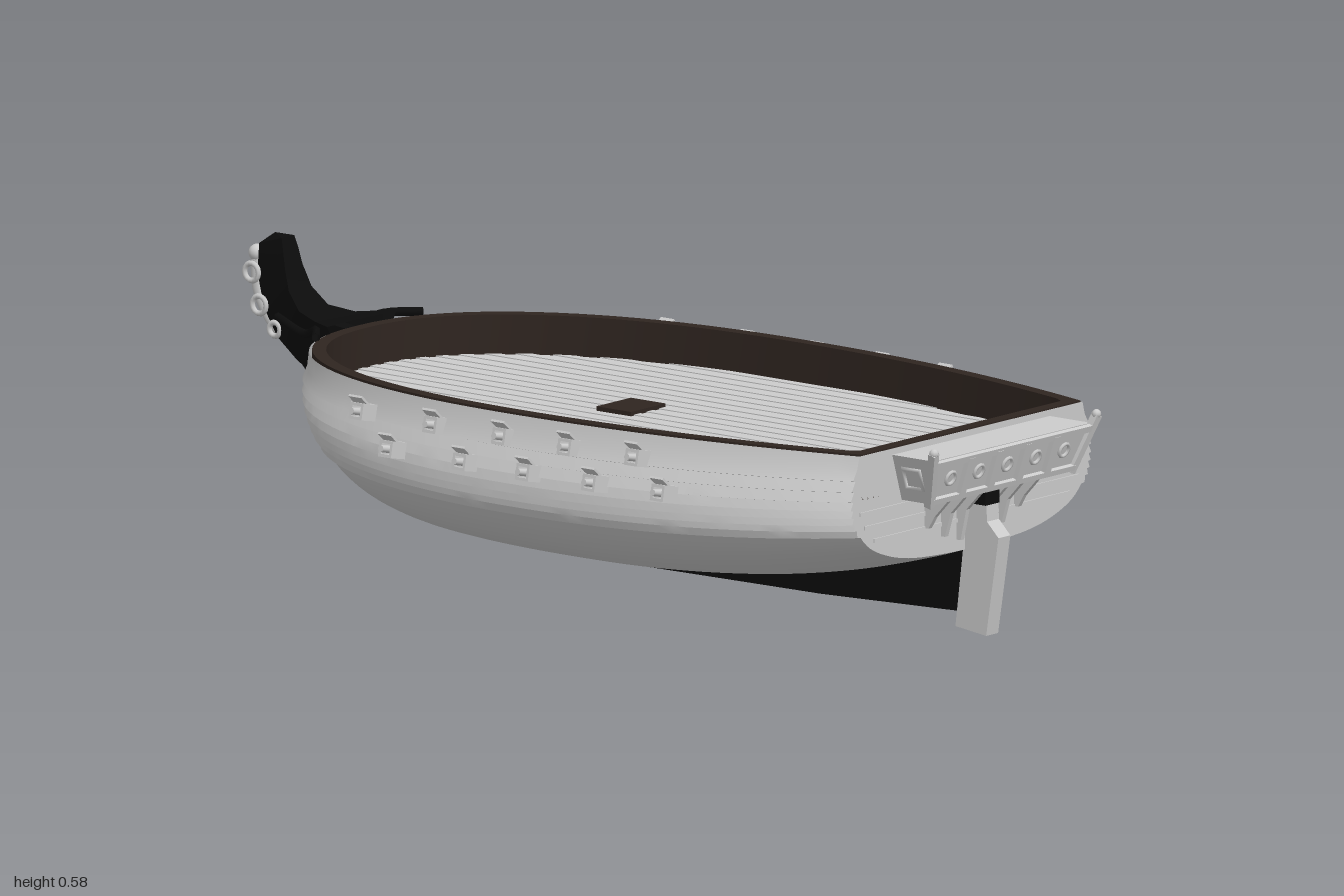
import * as THREE from 'three';
import { toCreasedNormals } from 'three/addons/utils/BufferGeometryUtils.js';

const mat = (color) => new THREE.MeshStandardMaterial({ color, side: THREE.DoubleSide });
const grey = mat(0xcccccc), black = mat(0x0c0c0c), brown = mat(0x2f2520);
const V = (x, y, z) => new THREE.Vector3(x, y, z);

function add(parent, name, geometry, material, x = 0, y = 0, z = 0) {
  const mesh = new THREE.Mesh(geometry, material);
  mesh.name = name;
  mesh.position.set(x, y, z);
  parent.add(mesh);
  return mesh;
}
const box = (w, h, d) => new THREE.BoxGeometry(w, h, d);

// Surface through rows of points
function skin(rows, crease = 0.5) {
  const pos = [], index = [], n = rows[0].length;
  rows.forEach((row) => row.forEach((p) => pos.push(p.x, p.y, p.z)));
  for (let i = 0; i < rows.length - 1; i++) {
    for (let j = 0; j < n - 1; j++) {
      const a = i * n + j, b = a + n;
      index.push(a, a + 1, b, b, a + 1, b + 1);
    }
  }
  const g = new THREE.BufferGeometry();
  g.setAttribute('position', new THREE.Float32BufferAttribute(pos, 3));
  g.setIndex(index);
  return toCreasedNormals(g, crease);
}

// Flat outline in x and y, given a thickness in z
function slab(points, depth) {
  const shape = new THREE.Shape(points.map(([x, y]) => new THREE.Vector2(x, y)));
  return new THREE.ExtrudeGeometry(shape, { depth, bevelEnabled: false }).translate(0, 0, -depth / 2);
}

// Waterlines from keel to rail: mid height, mid half-width, bow x | bow height, stern height, stern half-width
const STERN = 0.875;
const LINES = [
  [0.045, 0, -0.25, 0.048, 0.17, 0], [0.055, 0.1, -0.4, 0.065, 0.173, 0.1],
  [0.085, 0.25, -0.52, 0.09, 0.18, 0.19], [0.12, 0.345, -0.6, 0.13, 0.195, 0.26],
  [0.165, 0.41, -0.66, 0.18, 0.22, 0.32], [0.215, 0.455, -0.7, 0.24, 0.255, 0.357],
  [0.25, 0.478, -0.715, 0.28, 0.285, 0.37], [0.295, 0.49, -0.725, 0.32, 0.32, 0.373],
  [0.35, 0.483, -0.73, 0.36, 0.365, 0.366], [0.415, 0.47, -0.73, 0.415, 0.415, 0.354],
];
const midCurve = new THREE.CatmullRomCurve3(LINES.map((l) => V(l[0], l[1], l[2])), false, 'catmullrom');
const endCurve = new THREE.CatmullRomCurve3(LINES.map((l) => V(l[3], l[4], l[5])), false, 'catmullrom');

// Hull point: level t (keel 0, rail 1), s from bow 0 to stern 1, pushed outwards by out
function hullPoint(t, s, out = 0) {
  const m = midCurve.getPoint(t), e = endCurve.getPoint(t);
  if (s < 0.6) {
    const a = 1 - Math.cos((s / 0.6) * Math.PI / 2);
    const f = Math.pow(1 - Math.pow(1 - a, 2.3), 1 / 2.3);
    return V(THREE.MathUtils.lerp(m.z - out, 0.07, a), m.x + (e.x - m.x) * (1 - a) ** 2, (m.y + out) * f);
  }
  const q = (s - 0.6) / 0.4;
  return V(0.07 + (STERN - 0.07) * q, m.x + (e.y - m.x) * q ** 2.2, m.y + (e.z - m.y) * q * q + out);
}

// Smooth bottom levels, then overlapping strakes
const levels = [];
for (let i = 0; i <= 18; i++) levels.push([(i / 18) * 0.53, 0]);
const STRAKES = 8;
for (let i = 0; i < STRAKES; i++) {
  const t = 0.53 + (i / STRAKES) * 0.41, next = 0.53 + ((i + 1) / STRAKES) * 0.41;
  levels.push([t + 0.004, 0.009], [next, 0.001]);
}
levels.push([1, 0]);

function buildHull(g) {
  const N = 48, flip = (p) => V(p.x, p.y, -p.z);
  const rows = levels.map(([t, out]) => Array.from({ length: N + 1 }, (_, j) => hullPoint(t, j / N, out)));
  add(g, 'hullLeft', skin(rows, 0.4), grey);
  add(g, 'hullRight', skin(rows.map((r) => r.map(flip).reverse()), 0.4), grey);

  // Transom closing the stern
  const edge = rows.map((r) => r[N]);
  const outline = [...edge, ...edge.slice(1).reverse().map(flip)];
  const shape = new THREE.Shape(outline.map((p) => new THREE.Vector2(p.z, p.y)));
  add(g, 'transom', new THREE.ShapeGeometry(shape).rotateY(Math.PI / 2), grey, STERN);
  [[0.235, 0.62], [0.265, 0.68], [0.295, 0.71]].forEach(([y, w]) =>
    add(g, 'transomPlank', box(0.006, 0.008, w), grey, STERN, y, 0));

  // Bulwark ring
  const ring = (inset) => {
    const side = Array.from({ length: 41 }, (_, j) => hullPoint(1, j / 40, -inset));
    return [...side, ...side.slice(1).reverse().map(flip)]
      .map((p) => new THREE.Vector2(Math.min(p.x, 0.881 - inset), p.z));
  };
  const wall = new THREE.Shape(ring(0.006));
  wall.holes.push(new THREE.Path(ring(0.034)));
  const wallGeo = new THREE.ExtrudeGeometry(wall, { depth: 0.095, bevelEnabled: false }).rotateX(Math.PI / 2);
  add(g, 'bulwark', toCreasedNormals(wallGeo, 0.5), brown, 0, 0.418, 0);
}

// Deck planks cut to the hull outline
function buildDeck(g) {
  const count = 45, w = 0.9 / count;
  for (let i = 0; i < count; i++) {
    const z = -0.45 + w * (i + 0.5), k = Math.min(Math.abs(z) / 0.458, 0.999);
    const a = 1 - Math.pow(1 - Math.pow(k, 2.3), 1 / 2.3);
    const x0 = -0.715 + 0.785 * a;
    const x1 = Math.abs(z) < 0.34 ? 0.86 : 0.07 + 0.8 * Math.sqrt(Math.max(0, 0.462 - Math.abs(z)) / 0.122);
    add(g, 'deckPlank', box(x1 - x0, 0.012, w), grey, (x0 + x1) / 2, 0.33 + (i % 2) * 0.002, z);
  }
  add(g, 'hatch', box(0.09, 0.02, 0.11), brown, -0.022, 0.335, -0.015);
}

// Keel, stem, stern post and rudder
function buildKeel(g) {
  add(g, 'keelAndStem', slab([
    [-0.86, 0.335], [-0.82, 0.29], [-0.795, 0.245], [-0.74, 0.175], [-0.66, 0.11], [-0.53, 0.06],
    [-0.37, 0.036], [0, 0.026], [0.5, 0.03], [0.865, 0.042], [0.875, 0.2], [0.5, 0.11], [0.1, 0.065],
    [-0.3, 0.075], [-0.48, 0.11], [-0.62, 0.19], [-0.69, 0.27], [-0.715, 0.41], [-0.8, 0.42],
  ], 0.034), black);
  add(g, 'sternPost', box(0.03, 0.13, 0.034), black, 0.88, 0.24, 0);
  add(g, 'rudder', slab([[0.85, 0.01], [0.93, 0], [0.962, 0.205], [0.932, 0.235], [0.93, 0.295], [0.885, 0.295]], 0.038), grey);
  add(g, 'rudderHead', box(0.046, 0.04, 0.044), black, 0.908, 0.288, 0);
}

// Beakhead sweeping up from the bow, with carved scrolls
function buildBeakhead(g) {
  const stations = [
    [-0.71, 0.28, -0.71, 0.435, 0.03, 0.11], [-0.79, 0.295, -0.78, 0.43, 0.025, 0.065],
    [-0.86, 0.335, -0.835, 0.44, 0.024, 0.046], [-0.91, 0.375, -0.87, 0.475, 0.024, 0.036],
    [-0.945, 0.43, -0.887, 0.52, 0.023, 0.028], [-0.963, 0.5, -0.895, 0.555, 0.022, 0.024],
    [-0.962, 0.56, -0.902, 0.578, 0.018, 0.02],
  ];
  const rings = stations.map(([x0, y0, x1, y1, a, b]) =>
    [V(x0, y0, a), V(x1, y1, b), V(x1, y1, -b), V(x0, y0, -a), V(x0, y0, a)]);
  const tip = V(-0.935, 0.583, 0);
  rings.push(Array(5).fill(tip));
  add(g, 'beakhead', skin(rings), black);

  const front = new THREE.CatmullRomCurve3([V(-0.885, 0.36, 0), V(-0.94, 0.4, 0), V(-0.975, 0.46, 0), V(-0.982, 0.53, 0)]);
  add(g, 'figurehead', new THREE.TubeGeometry(front, 16, 0.014, 8), grey);
  add(g, 'figureheadTop', new THREE.SphereGeometry(0.018, 12, 8), grey, -0.982, 0.535, 0);
  for (const side of [-1, 1]) {
    const rail = new THREE.CatmullRomCurve3([V(-0.69, 0.425, 0.17 * side), V(-0.74, 0.425, 0.11 * side),
      V(-0.81, 0.4, 0.06 * side), V(-0.9, 0.42, 0.036 * side)]);
    add(g, 'headRail', new THREE.TubeGeometry(rail, 16, 0.009, 6), black);
    [[-0.975, 0.5, 0.018], [-0.955, 0.435, 0.018], [-0.915, 0.39, 0.014]].forEach(([x, y, r]) =>
      add(g, 'scroll', new THREE.TorusGeometry(r, 0.006, 6, 14), grey, x, y, 0.026 * side));
  }
}

// Stern gallery with pilasters, rosettes, corner posts and brackets
function buildGallery(g) {
  const level = (y, x, z) => [V(0.87, y, z), V(x, y, z), V(x, y, -z), V(0.87, y, -z), V(0.87, y, z)];
  const bottom = level(0.305, 0.95, 0.22), top = level(0.402, 0.982, 0.25);
  const cap = (y) => Array(5).fill(V(0.91, y, 0));
  add(g, 'gallery', skin([cap(0.305), bottom, top, cap(0.402)], 0.2), grey);

  const back = new THREE.Group();
  back.name = 'galleryBack';
  back.position.set(0.967, 0.354, 0);
  back.rotation.z = -0.32;
  g.add(back);
  add(back, 'upperMoulding', box(0.014, 0.014, 0.5), grey, 0.002, 0.042, 0);
  add(back, 'lowerMoulding', box(0.014, 0.012, 0.45), grey, 0.002, -0.043, 0);
  for (const z of [-0.135, -0.045, 0.045, 0.135]) add(back, 'pilaster', box(0.016, 0.085, 0.018), grey, 0.002, 0, z);
  for (const z of [-0.18, -0.09, 0, 0.09, 0.18]) {
    add(back, 'rosette', new THREE.TorusGeometry(0.014, 0.004, 6, 12).rotateY(Math.PI / 2), grey, 0.002, 0.002, z);
  }
  for (const side of [-1, 1]) {
    const post = add(g, 'cornerPost', box(0.016, 0.13, 0.016), grey, 0.97, 0.36, 0.241 * side);
    post.rotation.set(0.3 * side, 0, -0.32);
    add(g, 'finial', new THREE.SphereGeometry(0.01, 8, 6), grey, 0.99, 0.42, 0.258 * side);
    const frame = add(g, 'sideWindow', new THREE.TorusGeometry(0.03, 0.006, 4, 4).rotateZ(Math.PI / 4), grey, 0.918, 0.355, 0.236 * side);
    frame.rotation.x = 0.3 * side;
    [[0.04, 0.195], [0.09, 0.21], [0.142, 0.235]].forEach(([z, y]) =>
      add(g, 'bracket', slab([[0.87, y], [0.885, y], [0.9, 0.26], [0.945, 0.308], [0.87, 0.308]], 0.011), grey, 0, 0, z * side));
  }
}

// Gun port: open frame, barrel and raised lid, facing +z
function gunPort() {
  const port = new THREE.Group();
  port.name = 'gunPort';
  for (const s of [-1, 1]) {
    add(port, 'portCheek', box(0.006, 0.034, 0.045), grey, 0.014 * s, 0, 0);
    add(port, 'portSill', box(0.034, 0.006, 0.045), grey, 0, 0.014 * s, 0);
  }
  add(port, 'barrel', new THREE.CylinderGeometry(0.007, 0.009, 0.06, 8).rotateX(Math.PI / 2), grey, 0, 0, 0.008);
  const lid = add(port, 'portLid', box(0.034, 0.005, 0.03), grey, 0, 0.023, 0.018);
  lid.rotation.x = -0.5;
  return port;
}

export function createModel() {
  const ship = new THREE.Group();
  ship.name = 'ship';
  buildHull(ship);
  buildDeck(ship);
  buildKeel(ship);
  buildBeakhead(ship);
  buildGallery(ship);

  // Two staggered rows of gun ports on each side
  const rows = [[[-0.32, -0.12, 0.06, 0.23, 0.4], 0.37, 0.484], [[-0.22, -0.025, 0.14, 0.31, 0.48], 0.31, 0.506]];
  for (const [xs, y, z] of rows) {
    for (const x of xs) {
      for (const side of [-1, 1]) {
        const port = gunPort();
        const inset = 0.14 * Math.max(0, Math.abs(x - 0.07) - 0.1) ** 2;
        port.position.set(x, y, (z - inset) * side);
        port.rotation.set(-0.2 * side, side < 0 ? Math.PI : 0, 0);
        if (side < 0) port.rotation.x = 0.2;
        ship.add(port);
      }
    }
  }
  return ship;
}
